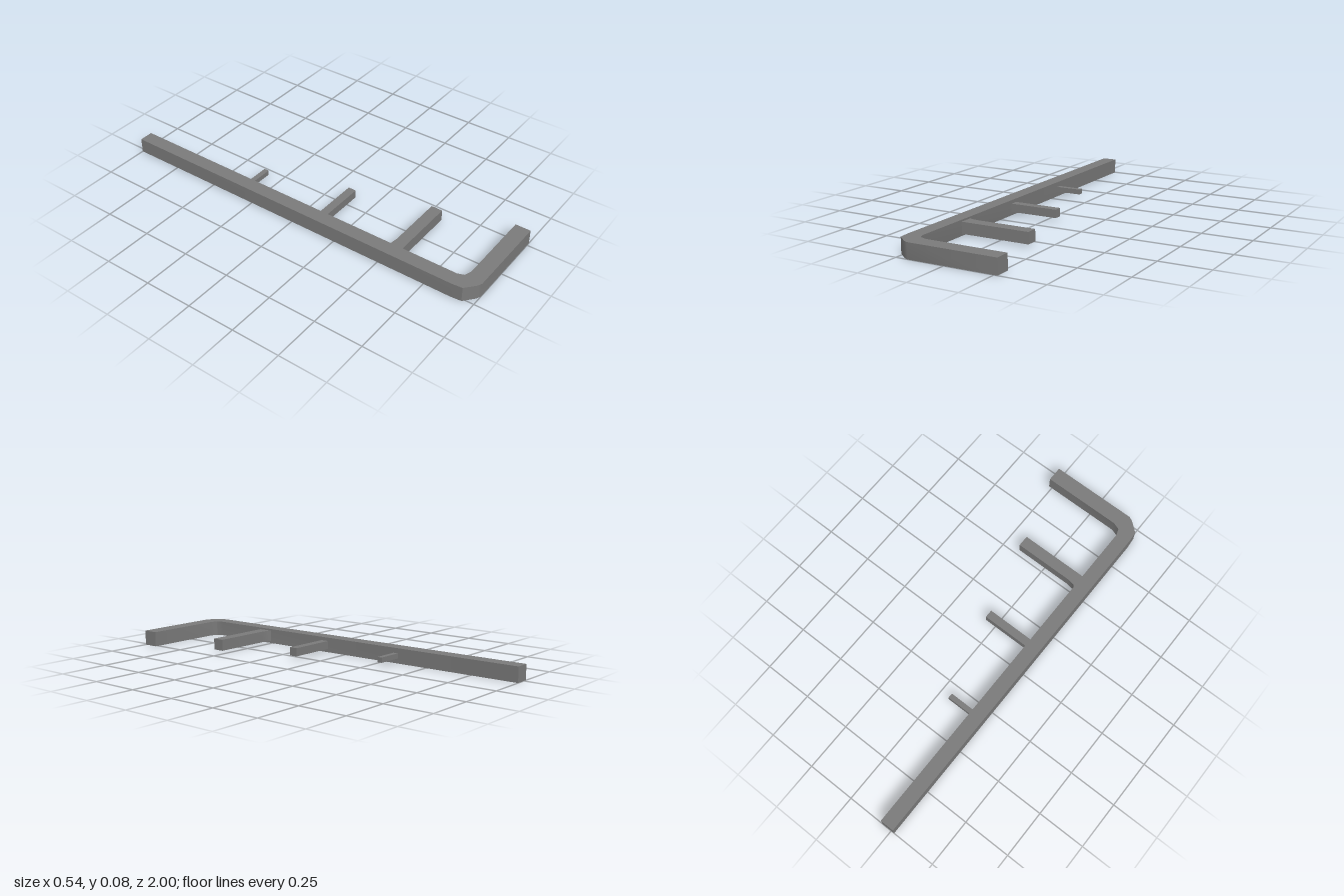
import * as THREE from 'three';
import { toCreasedNormals } from 'three/addons/utils/BufferGeometryUtils.js';

const material = new THREE.MeshStandardMaterial({ color: 0x7b7b7b });

// Extrudes an outline of [x, z] points upwards from y0 to y1, smoothing only the gentle bends
function slab(name, outline, y0, y1) {
  const shape = new THREE.Shape(outline.map(([x, z]) => new THREE.Vector2(x, -z)));
  const geometry = new THREE.ExtrudeGeometry(shape, { depth: y1 - y0, bevelEnabled: false });
  geometry.rotateX(-Math.PI / 2);
  geometry.translate(0, y0, 0);
  const mesh = new THREE.Mesh(toCreasedNormals(geometry, Math.PI / 6), material);
  mesh.name = name;
  return mesh;
}

export function createModel() {
  const group = new THREE.Group();
  group.name = 'prongedBar';
  const inner = -0.195; // inner face of the long bar
  const root = inner - 0.02; // where the prongs start inside the bar

  // Long bar that bends into the foot, with a chamfered elbow
  group.add(slab('bentBar', [
    [-0.268, -1], [-0.268, 0.89], [-0.263, 0.945], [-0.21, 0.99], [-0.188, 1],
    [0.268, 1], [0.268, 0.921], [-0.145, 0.921], [-0.183, 0.908], [inner, 0.875],
    [inner, -1],
  ], 0, 0.077));

  // Large prong with a small fillet where it meets the bar
  group.add(slab('largeProng', [
    [root, 0.583], [0.163, 0.583], [0.163, 0.524],
    [-0.145, 0.524], [-0.183, 0.518], [inner, 0.509], [root, 0.509],
  ], 0.01, 0.068));

  // Straight prongs: name, tip x, centre z, thickness
  for (const [name, tip, z, size] of [
    ['mediumProng', 0.056, 0.13, 0.042],
    ['smallProng', -0.061, -0.321, 0.026],
  ]) {
    const mesh = new THREE.Mesh(new THREE.BoxGeometry(tip - root, size, size), material);
    mesh.position.set((tip + root) / 2, 0.0385, z);
    mesh.name = name;
    group.add(mesh);
  }

  return group;
}
